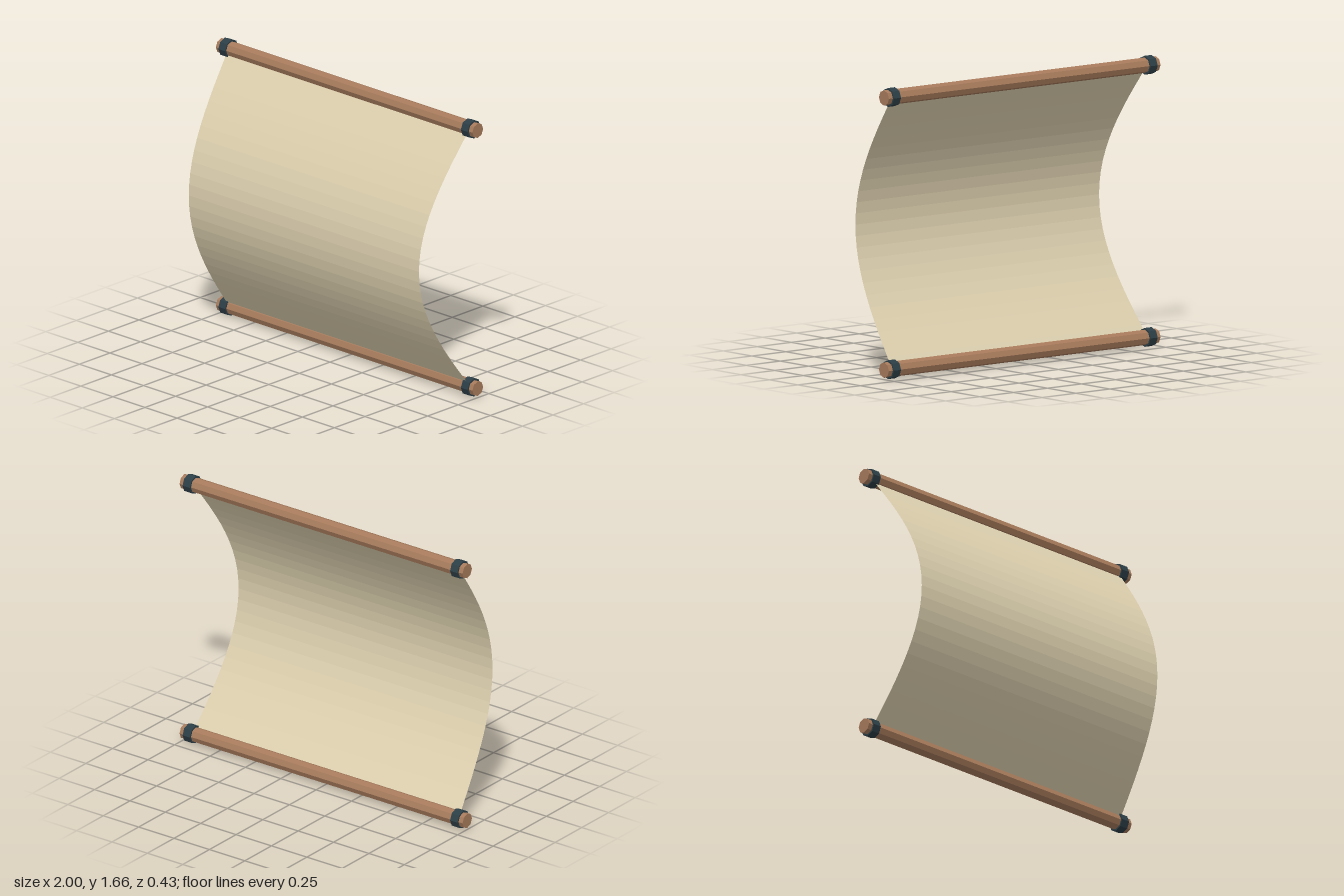
import * as THREE from 'three';

const ROD_Z = -0.16, LOW_Y = 0.055, HIGH_Y = 1.608;

const material = (color, side = THREE.FrontSide) =>
  new THREE.MeshStandardMaterial({ color, side, flatShading: true });

// Eight-sided bar lying along x, with a corner pointing up
function bar(name, radius, length, x, y, mat) {
  const geometry = new THREE.CylinderGeometry(radius, radius, length, 8).rotateZ(Math.PI / 2);
  const mesh = new THREE.Mesh(geometry, mat);
  mesh.name = name;
  mesh.position.set(x, y, ROD_Z);
  return mesh;
}

// Sheet that bellies forward and narrows slightly at the middle
function createSheet() {
  const geometry = new THREE.PlaneGeometry(2, 1, 1, 24);
  const p = geometry.attributes.position;
  for (let i = 0; i < p.count; i++) {
    const t = p.getY(i) + 0.5;
    const bulge = Math.sin(Math.PI * t);
    p.setXYZ(i,
      p.getX(i) * (0.94 - 0.043 * bulge),
      THREE.MathUtils.lerp(LOW_Y, HIGH_Y, t),
      ROD_Z + 0.373 * bulge);
  }
  geometry.computeVertexNormals();
  const mesh = new THREE.Mesh(geometry, material(0xdccfae, THREE.DoubleSide));
  mesh.name = 'sheet';
  return mesh;
}

export function createModel() {
  const model = new THREE.Group();
  model.name = 'hangingScroll';
  const wood = material(0xa67a5b);
  const dark = material(0x2c3e46);

  model.add(createSheet());

  // Rods with a dark band near each end
  for (const [side, y] of [['lower', LOW_Y], ['upper', HIGH_Y]]) {
    const rod = new THREE.Group();
    rod.name = side + 'Roller';
    rod.add(bar(side + 'Rod', 0.044, 2, 0, y, wood));
    for (const s of [-1, 1]) {
      rod.add(bar(side + (s > 0 ? 'LeftBand' : 'RightBand'), 0.054, 0.052, s * 0.945, y, dark));
    }
    model.add(rod);
  }
  return model;
}
